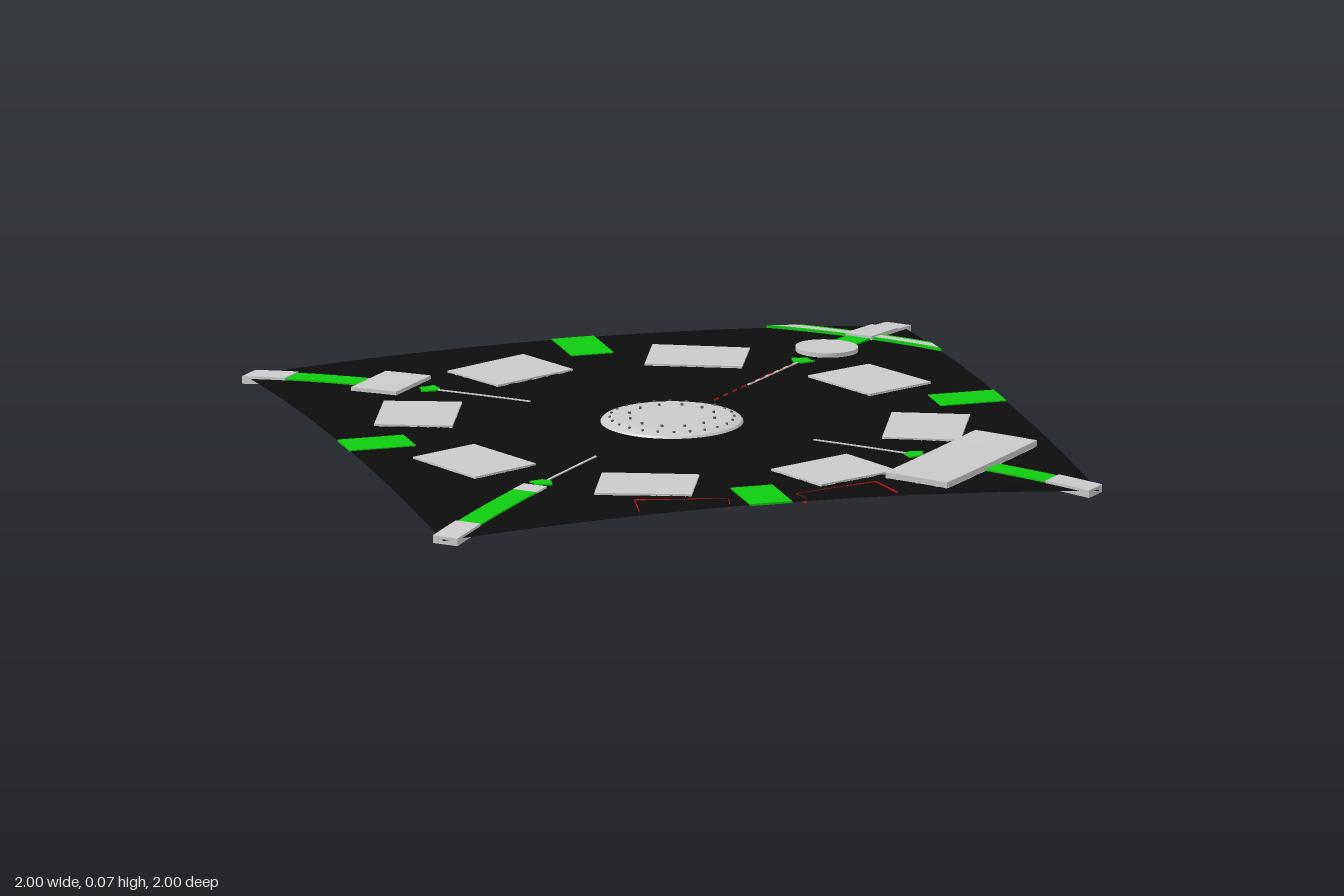
import * as THREE from 'three';

const mat = (name, color, side = THREE.FrontSide) => {
  const m = new THREE.MeshStandardMaterial({ color, side });
  m.name = name;
  return m;
};

export function createModel() {
  const model = new THREE.Group();
  model.name = 'drapedSheet';
  const black = mat('black', 0x0c0c0c, THREE.DoubleSide);
  const green = mat('green', 0x10cc10);
  const grey = mat('lightGrey', 0xcacaca);
  const dark = mat('darkGrey', 0x606060);
  const red = mat('red', 0xc01414);

  // The sheet is nearly flat and sags towards its four corners
  const height = (x, z) => 0.05 - 0.04 * x * x * z * z;
  const drape = (geo) => {
    const p = geo.attributes.position;
    for (let i = 0; i < p.count; i++) p.setY(i, p.getY(i) + height(p.getX(i), p.getZ(i)));
    geo.computeVertexNormals();
    return geo;
  };
  const add = (name, geo, material) => {
    const mesh = new THREE.Mesh(geo, material);
    mesh.name = name;
    model.add(mesh);
    return mesh;
  };
  // Turns a part to face outwards at an angle (degrees from +z) and lays it on the sheet
  const lay = (name, geo, material, deg, r) =>
    add(name, drape(geo.translate(0, 0, r).rotateY(THREE.MathUtils.degToRad(deg))), material);
  // Box, w across and l along the radius, between two offsets from the sheet
  const box = (name, material, deg, r, w, l, low, high) =>
    lay(name, new THREE.BoxGeometry(w, high - low, l, 6, 1, 6).translate(0, (low + high) / 2, 0), material, deg, r);
  // Thin rim showing under the sheet
  const frame = (name, deg, r, w, l, t = 0.005) => {
    for (const s of [-1, 1]) {
      lay(name, new THREE.BoxGeometry(w, 0.004, t, 6).translate(0, -0.002, s * (l - t) / 2), grey, deg, r);
      lay(name, new THREE.BoxGeometry(t, 0.004, l, 1, 1, 6).translate(s * (w - t) / 2, -0.002, 0), grey, deg, r);
    }
  };

  add('sheet', drape(new THREE.PlaneGeometry(1.96, 1.96, 48, 48).rotateX(-Math.PI / 2)), black);

  // Ring of eight panels
  for (let i = 0; i < 8; i++) {
    const a = 22.5 + 45 * i;
    box('panel', grey, a, 0.73, 0.28, 0.225, 0.001, 0.006);
    frame('panelRim', a, 0.73, 0.28, 0.225);
  }

  // Green patches at the middle of each edge
  for (let i = 0; i < 4; i++) box('edgePatch', green, 90 * i, 0.882, 0.126, 0.196, -0.003, 0.003);

  // Central hub with two rings of studs
  add('hubRim', new THREE.CylinderGeometry(0.2, 0.21, 0.012, 48).translate(0, 0.05, 0), grey);
  add('hubTop', new THREE.CylinderGeometry(0.17, 0.2, 0.008, 48).translate(0, 0.06, 0), grey);
  for (const [count, r, y] of [[24, 0.178, 0.062], [12, 0.125, 0.066]]) {
    for (let i = 0; i < count; i++) {
      const a = (i / count) * Math.PI * 2;
      add('stud', new THREE.CylinderGeometry(0.004, 0.004, 0.008, 6), dark)
        .position.set(r * Math.sin(a), y, r * Math.cos(a));
    }
  }

  // Diagonal spokes with fan-shaped tips, and corner feet
  const fan = new THREE.Shape();
  [[-0.014, -0.03], [0.014, -0.03], [0.038, 0.004], [0.018, 0.012], [0, 0.03], [-0.018, 0.012], [-0.038, 0.004]]
    .forEach(([x, y], i) => (i ? fan.lineTo(x, y) : fan.moveTo(x, y)));
  for (const a of [45, 135, 225, 315]) {
    box('spoke', grey, a, 0.61, 0.007, 0.3, -0.003, 0.003);
    lay('spokeTip', new THREE.ExtrudeGeometry(fan, { depth: 0.008, bevelEnabled: false })
      .rotateX(Math.PI / 2).translate(0, 0.004, 0), green, a, 0.79);
    box('cornerFoot', grey, a, 1.304, 0.08, 0.14, -0.0145, 0.008);
  }

  // Front left corner: strap and long bar
  box('strap', green, 45, 1.11, 0.075, 0.28, -0.005, 0.005);
  box('longBar', grey, 45, 0.938, 0.545, 0.2, 0.001, 0.018);
  frame('longBarRim', 45, 0.938, 0.545, 0.2);

  // Back left corner: strap, short bar, round pad and curved band
  box('strap', green, 135, 1.08, 0.075, 0.12, -0.005, 0.005);
  box('shortBar', grey, 135, 1.21, 0.085, 0.16, -0.012, 0.012);
  lay('roundPad', new THREE.CylinderGeometry(0.09, 0.09, 0.012, 32).translate(0, 0.007, 0), grey, 135, 0.938);
  lay('roundPadRim', new THREE.TorusGeometry(0.087, 0.003, 6, 32).rotateX(Math.PI / 2), grey, 135, 0.938);
  const band = (name, r0, r1, material) => {
    const s = new THREE.Shape();
    const a0 = Math.acos(0.98 / r0), a1 = Math.acos(0.98 / r1);
    s.absarc(0, 0, r0, a0, Math.PI / 2 - a0, false);
    s.absarc(0, 0, r1, Math.PI / 2 - a1, a1, true);
    const g = new THREE.ExtrudeGeometry(s, { depth: 0.025, bevelEnabled: false, curveSegments: 24 });
    add(name, drape(g.rotateX(-Math.PI / 2).translate(0, -0.018, 0)), material);
  };
  band('bandInnerEdge', 1.138, 1.15, green);
  band('band', 1.15, 1.184, grey);
  band('bandOuterEdge', 1.184, 1.196, green);

  // Back right corner: strap and square plate
  box('strap', green, 225, 1.11, 0.075, 0.26, -0.005, 0.005);
  box('squarePlate', grey, 225, 0.912, 0.21, 0.147, 0.001, 0.012);

  // Front right corner: strap with a light end
  box('strap', green, 315, 1.065, 0.075, 0.35, -0.005, 0.005);
  box('strapEnd', grey, 315, 0.86, 0.075, 0.065, -0.006, 0.006);

  // Row of upright red dashes beside one spoke
  for (let i = 0; i < 9; i++) box('dash', red, 135, 0.27 + i * 0.055, 0.002, 0.025, -0.002, 0.005);

  // Upright red outlines near the front edge
  for (const s of [-1, 1]) {
    const pts = [[0.385, 0.95], [0.36, 0.82], [0.1, 0.89], [0.115, 0.95]];
    for (let i = 0; i < 3; i++) {
      const [x0, z0] = pts[i], [x1, z1] = pts[i + 1];
      const wall = add('redOutline', new THREE.BoxGeometry(Math.hypot(x1 - x0, z1 - z0), 0.016, 0.002), red);
      wall.position.set(s * (x0 + x1) / 2, 0.042, (z0 + z1) / 2);
      wall.rotation.y = -Math.atan2(z1 - z0, s * (x1 - x0));
    }
  }
  return model;
}
